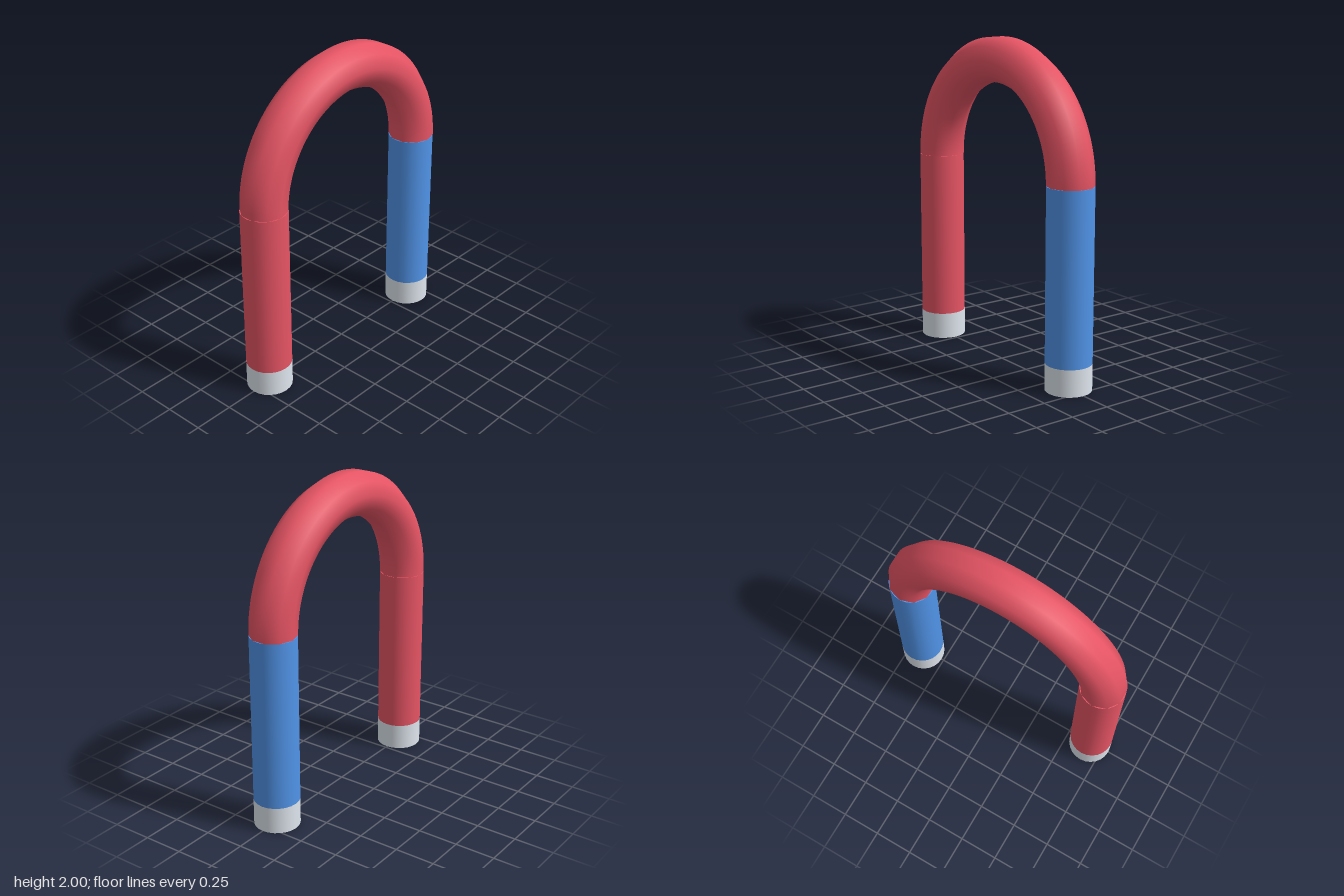
import * as THREE from 'three';

const BEND = 0.656;    // radius of the arch centreline, also the leg offset
const RADIUS = 0.14;   // bar radius
const LEG_TOP = 1.21;
const TIP = 0.165;     // height of the bare metal tips

// Half circle from the left leg over to the right leg
class ArchCurve extends THREE.Curve {
  getPoint(t, target = new THREE.Vector3()) {
    const a = Math.PI * t;
    return target.set(BEND * Math.cos(a), LEG_TOP + BEND * Math.sin(a), 0);
  }
}

function material(color) {
  return new THREE.MeshStandardMaterial({ color });
}

// Upright round bar between two heights
function bar(name, x, y0, y1, mat) {
  const mesh = new THREE.Mesh(new THREE.CylinderGeometry(RADIUS, RADIUS, y1 - y0, 24), mat);
  mesh.position.set(x, (y0 + y1) / 2, 0);
  mesh.name = name;
  return mesh;
}

export function createModel() {
  const model = new THREE.Group();
  model.name = 'horseshoeMagnet';
  const red = material(0xe65464);
  const blue = material(0x5194e8);
  const metal = material(0xdfe6ee);

  // Ten-sided arch, open where it meets the capped legs
  const archMaterial = red.clone();
  archMaterial.side = THREE.DoubleSide;
  const arch = new THREE.Mesh(new THREE.TubeGeometry(new ArchCurve(), 64, RADIUS, 10, false), archMaterial);
  arch.name = 'arch';
  model.add(arch);

  // Coloured legs with metal pole tips
  for (const [side, sign, paint] of [['left', 1, blue], ['right', -1, red]]) {
    model.add(bar(side + 'Leg', sign * BEND, TIP, LEG_TOP, paint));
    model.add(bar(side + 'Tip', sign * BEND, 0, TIP, metal));
  }
  return model;
}
